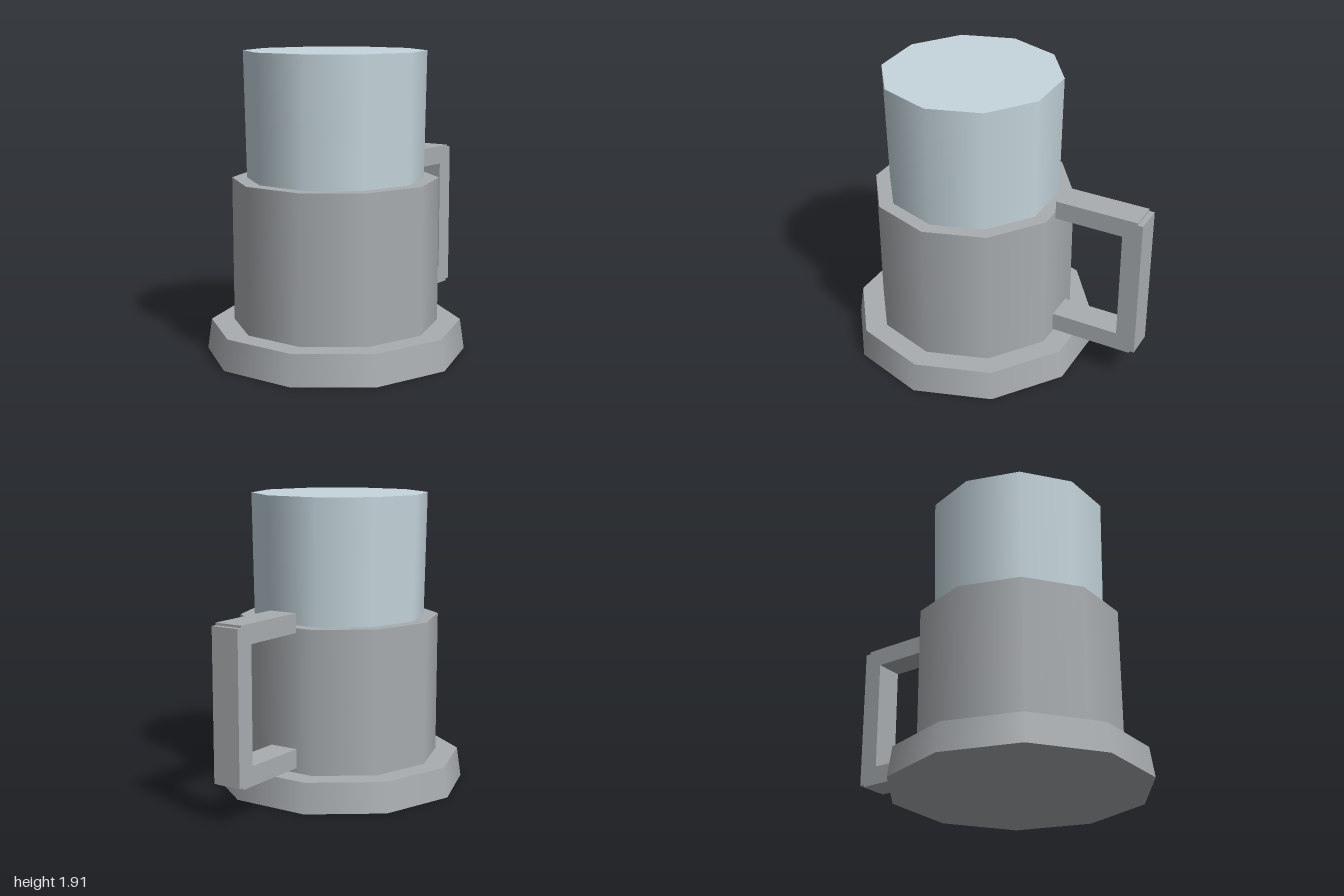
import * as THREE from 'three';

const SIDES = 10;
const AXIS_X = -0.213;

export function createModel() {
  const model = new THREE.Group();
  model.name = 'mug';

  const metal = new THREE.MeshStandardMaterial({ color: 0xa9adb0 });
  metal.name = 'grey metal';
  const glass = new THREE.MeshStandardMaterial({ color: 0xc5d6dd });
  glass.name = 'pale blue glass';

  // Ten-sided drum standing between two heights
  const drum = (name, rTop, rBottom, y0, y1, material) => {
    const mesh = new THREE.Mesh(new THREE.CylinderGeometry(rTop, rBottom, y1 - y0, SIDES), material);
    mesh.position.set(AXIS_X, (y0 + y1) / 2, 0);
    mesh.name = name;
    model.add(mesh);
  };
  drum('base', 0.8, 0.828, 0, 0.193, metal);
  drum('holderBody', 0.653, 0.653, 0.193, 1.117, metal);
  drum('glass', 0.573, 0.559, 1.117, 1.915, glass);

  // Square handle: two arms and an upright grip
  const handle = new THREE.Group();
  handle.name = 'handle';
  const bar = (name, x0, x1, y0, y1) => {
    const mesh = new THREE.Mesh(new THREE.BoxGeometry(x1 - x0, y1 - y0, 0.19), metal);
    mesh.position.set((x0 + x1) / 2, (y0 + y1) / 2, 0);
    mesh.name = name;
    handle.add(mesh);
  };
  bar('upperArm', 0.422, 0.966, 1.09, 1.213);
  bar('lowerArm', 0.422, 0.966, 0.23, 0.353);
  bar('grip', 0.871, 1.0, 0.245, 1.198);
  model.add(handle);

  return model;
}
